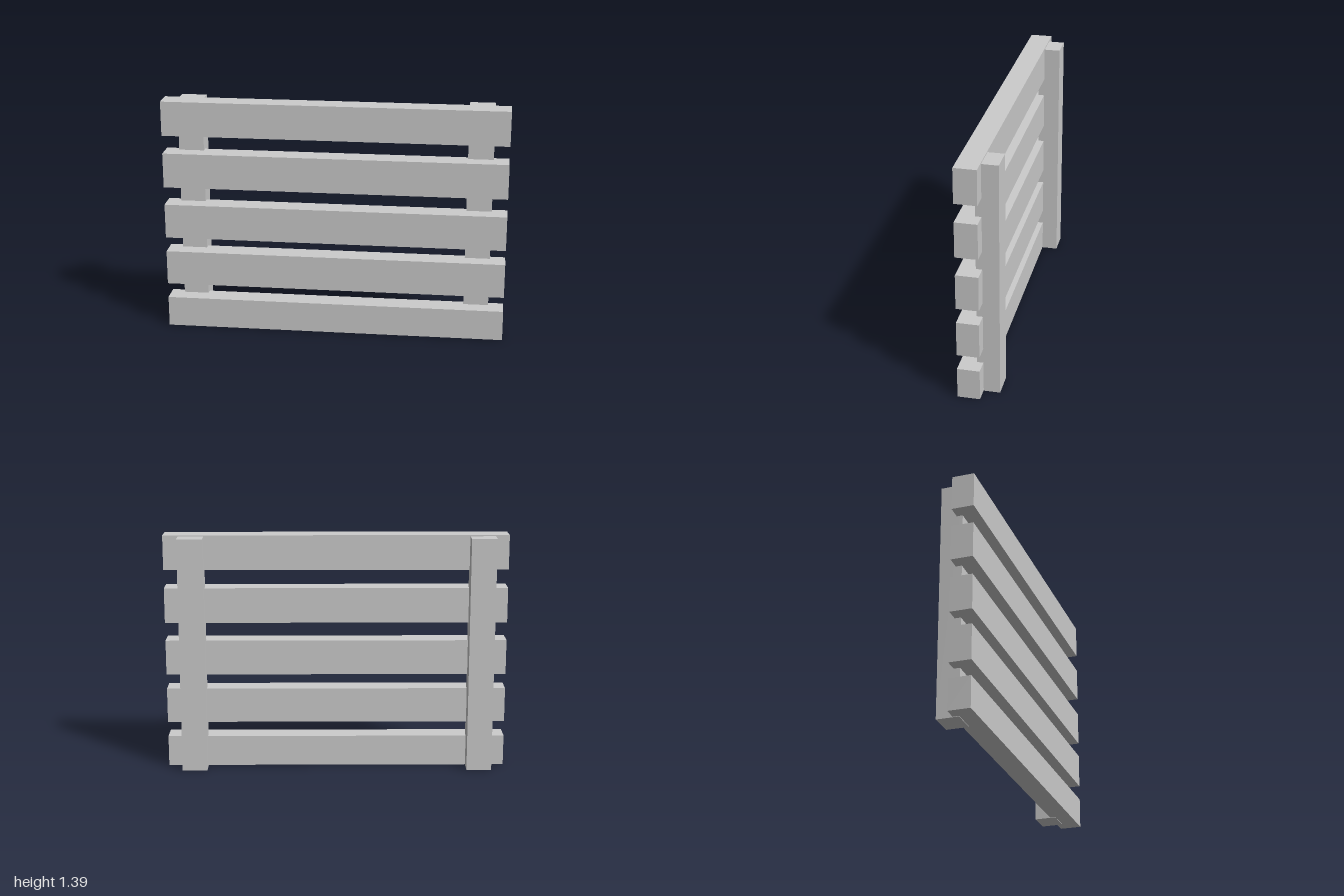
import * as THREE from 'three';

export function createModel() {
  const group = new THREE.Group();
  const material = new THREE.MeshStandardMaterial({ color: 0xcccccc, flatShading: true });

  // Box given by its lower and upper limits on each axis
  const addBox = (name, [x0, x1], [y0, y1], [z0, z1]) => {
    const mesh = new THREE.Mesh(new THREE.BoxGeometry(x1 - x0, y1 - y0, z1 - z0), material);
    mesh.position.set((x0 + x1) / 2, (y0 + y1) / 2, (z0 + z1) / 2);
    mesh.name = name;
    group.add(mesh);
  };

  // Horizontal slats, bottom to top; the lowest is slightly narrower
  const slats = [[0.003, 0.184], [0.273, 0.478], [0.565, 0.77], [0.877, 1.083], [1.19, 1.393]];
  slats.forEach((y, i) => addBox(`slat${i + 1}`, [-1, 1], y, [-0.017, 0.11]));

  // Upright posts behind, let into the slats
  addBox('rightPost', [-0.92, -0.773], [0, 1.386], [-0.11, 0.018]);
  addBox('leftPost', [0.764, 0.911], [0, 1.386], [-0.11, 0.018]);

  return group;
}
